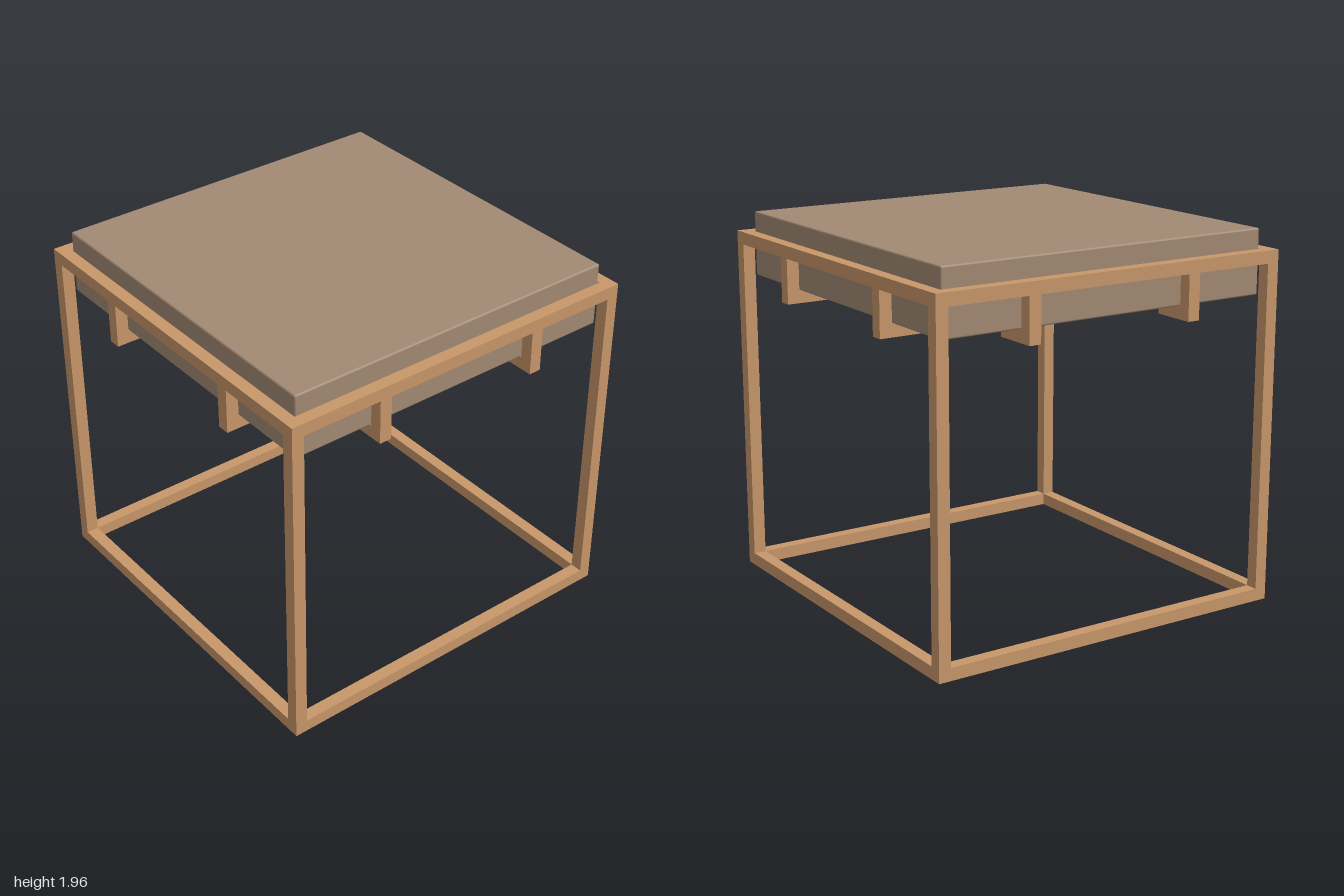
import * as THREE from 'three';
import { RoundedBoxGeometry } from 'three/addons/geometries/RoundedBoxGeometry.js';

const T = 0.066;        // bar thickness
const H = 1.85;         // frame height
const SLAB_Y0 = 1.615, SLAB_Y1 = 1.955, SLAB_W = 1.862;

export function createModel() {
  const wood = new THREE.MeshStandardMaterial({ color: 0xc8976a });
  wood.name = 'warm wood';
  const taupe = new THREE.MeshStandardMaterial({ color: 0xa38a74 });
  taupe.name = 'taupe top';

  const model = new THREE.Group();
  model.name = 'sideTable';

  const bar = (parent, name, w, h, d, x, y, z) => {
    const mesh = new THREE.Mesh(new THREE.BoxGeometry(w, h, d), wood);
    mesh.name = name;
    mesh.position.set(x, y, z);
    parent.add(mesh);
  };

  // Square-section cube frame
  const frame = new THREE.Group();
  frame.name = 'frame';
  model.add(frame);
  const c = 1 - T / 2;
  for (const s of [-1, 1]) {
    for (const t of [-1, 1]) bar(frame, 'leg', T, H - 2 * T, T, s * c, H / 2, t * c);
    for (const [name, y] of [['bottomRail', T / 2], ['topRail', H - T / 2]]) {
      bar(frame, name, 2, T, T, 0, y, s * c);
      bar(frame, name, T, T, 2 - 2 * T, s * c, y, 0);
    }
  }

  // L-shaped brackets, two hanging from each top rail
  const bottom = SLAB_Y0 - T, top = H - T, inner = 0.765;
  const profile = new THREE.Shape([
    [1, bottom], [1, top], [1 - T, top], [1 - T, SLAB_Y0], [inner, SLAB_Y0], [inner, bottom],
  ].map(([x, y]) => new THREE.Vector2(x, y)));
  const bracketGeometry = new THREE.ExtrudeGeometry(profile, { depth: T, bevelEnabled: false });
  bracketGeometry.translate(0, 0, -T / 2);
  for (let side = 0; side < 4; side++) {
    const pair = new THREE.Group();
    pair.name = 'bracketPair';
    pair.rotation.y = side * Math.PI / 2;
    for (const s of [-1, 1]) {
      const bracket = new THREE.Mesh(bracketGeometry, wood);
      bracket.name = 'bracket';
      bracket.position.z = s * 0.467;
      pair.add(bracket);
    }
    model.add(pair);
  }

  // Thick slab resting on the bracket feet
  const slab = new THREE.Mesh(
    new RoundedBoxGeometry(SLAB_W, SLAB_Y1 - SLAB_Y0, SLAB_W, 2, 0.01), taupe);
  slab.name = 'slabTop';
  slab.position.y = (SLAB_Y0 + SLAB_Y1) / 2;
  model.add(slab);

  return model;
}
